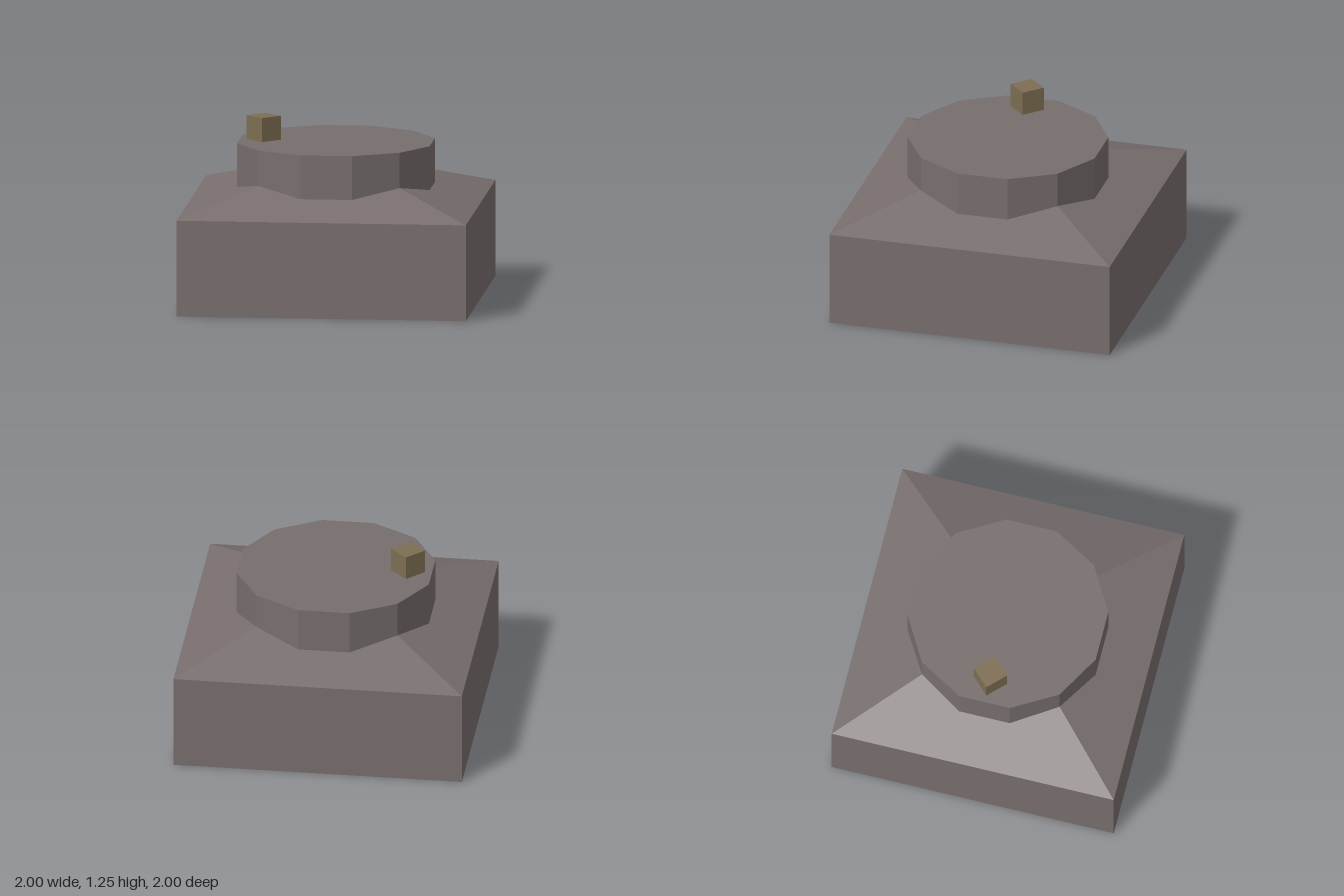
import * as THREE from 'three';

export function createModel() {
  const model = new THREE.Group();
  const stone = new THREE.MeshStandardMaterial({ name: 'greyStone', color: 0x776e6d, flatShading: true });
  const brass = new THREE.MeshStandardMaterial({ name: 'dullBrass', color: 0x7d6e52, flatShading: true });

  const add = (name, geometry, material, x, y, turn = 0) => {
    const mesh = new THREE.Mesh(geometry, material);
    mesh.name = name;
    mesh.position.set(x, y, 0);
    mesh.rotation.y = turn;
    model.add(mesh);
  };

  // Square block standing on the ground
  add('base', new THREE.BoxGeometry(2, 0.667, 2), stone, 0, 0.3335);

  // Shallow four-sided roof, its edges flush with the block
  add('roof', new THREE.ConeGeometry(Math.SQRT2, 0.333, 4, 1, true), stone, 0, 0.8335, Math.PI / 4);

  // Twelve-sided drum with flats facing the block's sides
  add('drum', new THREE.CylinderGeometry(0.69, 0.69, 0.333, 12), stone, 0, 0.9165, Math.PI / 12);

  // Small square peg turned cornerwise near the drum's right edge
  add('peg', new THREE.CylinderGeometry(0.118, 0.118, 0.167, 4), brass, -0.5, 1.1665);

  return model;
}
